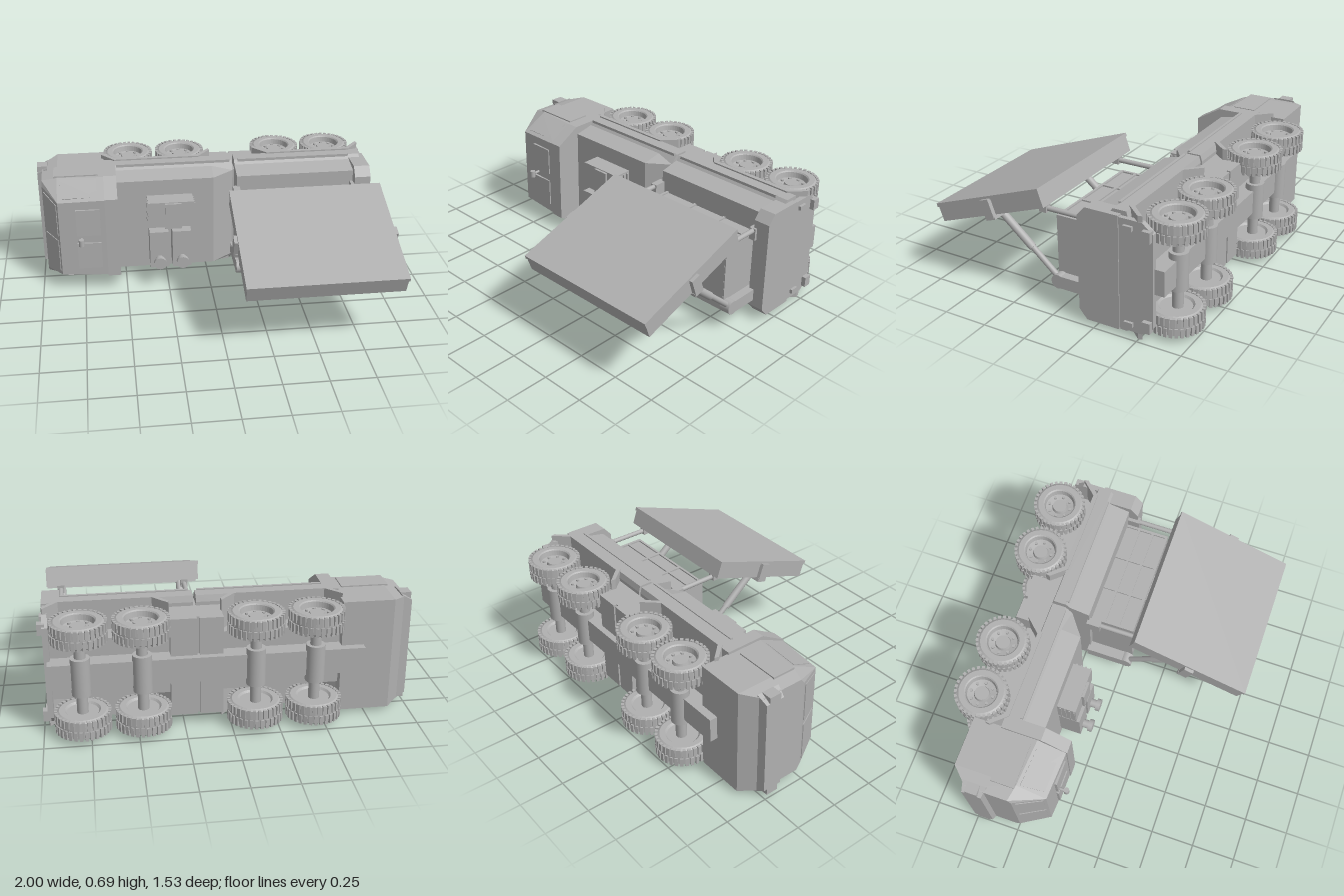
import * as THREE from 'three';
import { ConvexGeometry } from 'three/addons/geometries/ConvexGeometry.js';

const MID = 0.34; // centre line of the truck (it lies on its side: its up is +z)

export function createModel() {
  const model = new THREE.Group();
  model.name = 'truck';
  const grey = new THREE.MeshStandardMaterial({ color: 0xb0b0b0 });
  grey.name = 'grey';

  const add = (name, geo, parent = model) => {
    const m = new THREE.Mesh(geo, grey);
    m.name = name;
    parent.add(m);
    return m;
  };
  const box = (name, x0, x1, y0, y1, z0, z1, parent) =>
    add(name, new THREE.BoxGeometry(x1 - x0, y1 - y0, z1 - z0)
      .translate((x0 + x1) / 2, (y0 + y1) / 2, (z0 + z1) / 2), parent);
  // cylinder between two points
  const rod = (name, a, b, r, parent, seg = 20) => {
    const p = new THREE.Vector3(...a), q = new THREE.Vector3(...b);
    const m = add(name, new THREE.CylinderGeometry(r, r, p.distanceTo(q), seg), parent);
    m.position.copy(p).add(q).multiplyScalar(0.5);
    m.quaternion.setFromUnitVectors(new THREE.Vector3(0, 1, 0), q.sub(p).normalize());
    return m;
  };
  // side profile in x and z, pulled across the width
  const prism = (name, pts, y0, y1) =>
    add(name, new THREE.ExtrudeGeometry(
      new THREE.Shape(pts.map(p => new THREE.Vector2(...p))), { depth: y1 - y0, bevelEnabled: false })
      .rotateX(Math.PI / 2).translate(0, y1, 0));
  // symmetric cross-sections along x: [x, [halfWidth, z] from bottom to top]
  const loft = (name, sections) => {
    const rings = sections.map(([x, half]) => [
      ...half.map(([h, z]) => [x, MID + h, z]),
      ...half.slice().reverse().map(([h, z]) => [x, MID - h, z])]);
    const pos = [], n = rings[0].length, last = rings[rings.length - 1];
    const tri = (a, b, c) => pos.push(...a, ...b, ...c);
    for (let s = 0; s < rings.length - 1; s++) {
      for (let i = 0; i < n; i++) {
        const j = (i + 1) % n, A = rings[s], B = rings[s + 1];
        tri(A[i], A[j], B[j]);
        tri(A[i], B[j], B[i]);
      }
    }
    for (let i = 1; i < n - 1; i++) {
      tri(rings[0][0], rings[0][i + 1], rings[0][i]);
      tri(last[0], last[i], last[i + 1]);
    }
    const g = new THREE.BufferGeometry();
    g.setAttribute('position', new THREE.Float32BufferAttribute(pos, 3));
    g.computeVertexNormals();
    return add(name, g);
  };
  // thin panel on four corners
  const plate = (name, pts) => {
    const v = pts.map(p => new THREE.Vector3(...p));
    const n = v[1].clone().sub(v[0]).cross(v[2].clone().sub(v[0])).normalize().multiplyScalar(0.004);
    add(name, new ConvexGeometry(v.flatMap(p => [p.clone().add(n), p.clone().sub(n)])));
  };
  const mirrorY = (y0, y1, side) => side > 0 ? [y0, y1] : [2 * MID - y1, 2 * MID - y0];

  // Cab
  loft('cab', [
    [-0.97, [[0.30, -0.50], [0.30, -0.26], [0.27, -0.24]]],
    [-0.88, [[0.32, -0.59], [0.32, -0.24], [0.235, -0.075]]],
    [-0.60, [[0.32, -0.59], [0.32, -0.22], [0.245, -0.06]]],
  ]);
  loft('cabRearFrame', [-0.61, -0.535].map(x =>
    [x, [[0.335, -0.43], [0.335, -0.20], [0.25, -0.055]]]));
  loft('bumper', [[-1, [[0.28, -0.51], [0.28, -0.40]]], [-0.94, [[0.315, -0.52], [0.315, -0.385]]]]);
  for (const s of [-1, 1]) {
    const at = h => MID + s * h;
    plate('windshield', [[-0.961, at(0.015), -0.222], [-0.961, at(0.245), -0.222],
      [-0.888, at(0.215), -0.09], [-0.888, at(0.015), -0.09]]);
    plate('sideWindow', [[-0.87, at(0.311), -0.222], [-0.65, at(0.311), -0.21],
      [-0.65, at(0.252), -0.09], [-0.85, at(0.248), -0.095]]);
    box('door', -0.90, -0.64, ...mirrorY(0.655, 0.667, s), -0.38, -0.245);
    box('headlight', -1, -0.94, ...mirrorY(0.60, 0.657, s), -0.49, -0.42);
    box('roofHatch', -0.78, -0.64, ...mirrorY(0.365, 0.53, s), -0.08, -0.055);
  }
  rod('periscopeStem', [-0.755, MID, -0.07], [-0.755, MID, -0.03], 0.008);
  rod('periscope', [-0.755, MID - 0.02, -0.018], [-0.755, MID + 0.02, -0.018], 0.016);

  // Hull, front and rear halves
  const hull = top => [[0.30, -0.43], [0.335, -0.42], [0.335, -0.345], [0.31, -0.325], [0.285, top]];
  loft('frontHull', [[-0.54, hull(-0.21)], [0.04, hull(-0.21)], [0.165, hull(-0.305)]]);
  loft('rearHull', [[0.18, hull(-0.21)], [0.95, hull(-0.21)]]);
  box('hullJoint', 0.16, 0.19, 0.06, 0.62, -0.58, -0.33);
  box('lowerHull', -0.62, 0.95, 0.17, 0.51, -0.54, -0.40);
  prism('middleHull', [[-0.04, -0.42], [0.04, -0.51], [0.04, -0.60], [0.165, -0.60], [0.165, -0.42]], 0.06, 0.62);
  prism('middleHull', [[0.18, -0.42], [0.18, -0.60], [0.32, -0.60], [0.32, -0.51], [0.38, -0.42]], 0.06, 0.62);
  box('chassisBeam', -0.72, 0.96, 0.27, 0.41, -0.635, -0.50);
  for (const s of [-1, 1]) {
    for (const [a, b] of [[-0.61, 0.04], [0.32, 0.97]]) {
      prism('mudguard', [[a, -0.52], [a + 0.08, -0.435], [b - 0.08, -0.435], [b, -0.52], [b + 0.005, -0.495],
        [b - 0.07, -0.41], [a + 0.07, -0.41], [a - 0.005, -0.495]], ...mirrorY(0.52, 0.683, s));
    }
    box('sideRail', -0.53, 0.15, ...mirrorY(0.665, 0.681, s), -0.35, -0.335);
    box('sideRail', 0.2, 0.88, ...mirrorY(0.665, 0.681, s), -0.35, -0.335);
  }

  // Tail
  loft('tailPlate', [0.945, 0.975].map(x =>
    [x, [[0.26, -0.58], [0.31, -0.52], [0.31, -0.20], [0.26, -0.155]]]));
  loft('tailRim', [0.885, 0.98].map(x =>
    [x, [[0.318, -0.39], [0.318, -0.20], [0.265, -0.155]]]));
  for (const s of [-1, 1]) {
    box('tailLight', 0.97, 0.99, ...mirrorY(0.595, 0.62, s), -0.47, -0.42);
    box('towHook', 0.96, 1, ...mirrorY(0.56, 0.62, s), -0.575, -0.53);
  }

  // Wheels with blocky tread
  const tyre = new THREE.LatheGeometry([
    [0, -0.045], [0.085, -0.045], [0.095, -0.056], [0.125, -0.056], [0.141, -0.045], [0.143, 0],
    [0.141, 0.045], [0.125, 0.056], [0.095, 0.056], [0.088, 0.05], [0.082, 0.02], [0.045, 0.012],
    [0.04, 0.03], [0, 0.03]].map(p => new THREE.Vector2(...p)), 36);
  const block = new THREE.BoxGeometry(0.016, 0.05, 0.017);
  const makeWheel = (x, y, side) => {
    const w = new THREE.Group();
    w.name = 'wheel';
    const flat = tyre.toNonIndexed();
    flat.computeVertexNormals();
    add('tyre', flat, w);
    for (let i = 0; i < 64; i++) {
      const a = i / 64 * Math.PI * 2, t = add('tread', block, w);
      t.position.set(0.142 * Math.cos(a), i % 2 ? 0.029 : -0.029, 0.142 * Math.sin(a));
      t.rotation.y = -a;
    }
    for (let i = 0; i < 8; i++) {
      const a = i / 8 * Math.PI * 2, c = 0.064 * Math.cos(a), d = 0.064 * Math.sin(a);
      rod('wheelBolt', [c, 0.01, d], [c, 0.026, d], 0.009, w, 8);
    }
    w.position.set(x, y, -0.612);
    if (side < 0) w.rotation.x = Math.PI;
    model.add(w);
  };
  for (const x of [-0.45, -0.13, 0.47, 0.79]) {
    for (const s of [-1, 1]) makeWheel(x, MID + s * 0.256, s);
    rod('axle', [x, 0.12, -0.62], [x, 0.56, -0.62], 0.03);
    rod('differential', [x, 0.235, -0.622], [x, 0.445, -0.622], 0.052);
  }

  // Equipment on the front deck
  box('equipmentBox', -0.36, -0.09, 0.37, 0.53, -0.22, -0.10);
  box('equipmentLid', -0.26, -0.165, 0.365, 0.525, -0.10, -0.085);
  for (let i = 0; i < 4; i++) box('equipmentRib', -0.365, -0.08, 0.38, 0.52, -0.195 + i * 0.027, -0.185 + i * 0.027);
  for (const x of [-0.30, -0.165]) {
    box('filterHousing', x - 0.056, x + 0.056, 0.11, 0.345, -0.22, -0.085);
    rod('ventStem', [x, 0.165, -0.09], [x, 0.165, -0.04], 0.025);
    rod('ventCap', [x, 0.165, -0.05], [x, 0.165, -0.025], 0.037);
  }

  // Ribbed bay on the rear deck
  box('bay', 0.22, 0.86, 0.12, 0.50, -0.22, 0.045);
  box('bayPanel', 0.44, 0.61, 0.15, 0.48, 0.04, 0.053);
  for (const x of [0.215, 0.425, 0.635, 0.85]) box('bayRib', x, x + 0.016, 0.112, 0.508, -0.21, 0.04);
  for (const z of [-0.14, -0.055, 0.03]) box('bayBand', 0.215, 0.866, 0.112, 0.508, z, z + 0.014);

  // Lifted panel
  const panel = new THREE.Group();
  panel.name = 'liftedPanel';
  panel.position.set(0.525, 0.51, 0.41);
  panel.rotation.x = 0.344;
  model.add(panel);
  box('panelBody', -0.43, 0.43, -0.053, 0.04, -0.352, 0.352, panel);
  box('panelCover', -0.435, 0.435, 0.033, 0.053, -0.357, 0.357, panel);
  for (const s of [-1, 1]) {
    const b = box('panelBracket', -0.012, 0.012, -0.065, 0.04, -0.028, 0.028, panel);
    b.position.x = s * 0.442;
  }
  box('bracketBar', -0.45, 0.45, -0.075, -0.053, -0.03, 0.03, panel);

  // Lifting arms and hinges
  for (const x of [0.175, 0.885]) {
    rod('armPivot', [x - 0.03, 0.145, 0.02], [x + 0.03, 0.145, 0.02], 0.04);
    box('pivotMount', x - 0.03, x + 0.03, 0.11, 0.18, -0.22, 0.02);
    rod('armRod', [x, 0.145, 0.02], [x, 0.31, 0.21], 0.016);
    rod('armCylinder', [x, 0.29, 0.19], [x, 0.47, 0.40], 0.022);
    rod('hingeArm', [x, 0.545, -0.20], [x, 0.545, 0.11], 0.014);
    box('hingeBracket', x - 0.02, x + 0.02, 0.525, 0.58, 0.08, 0.125);
    box('hingeMount', x - 0.02, x + 0.02, 0.49, 0.56, -0.22, -0.14);
  }
  return model;
}
